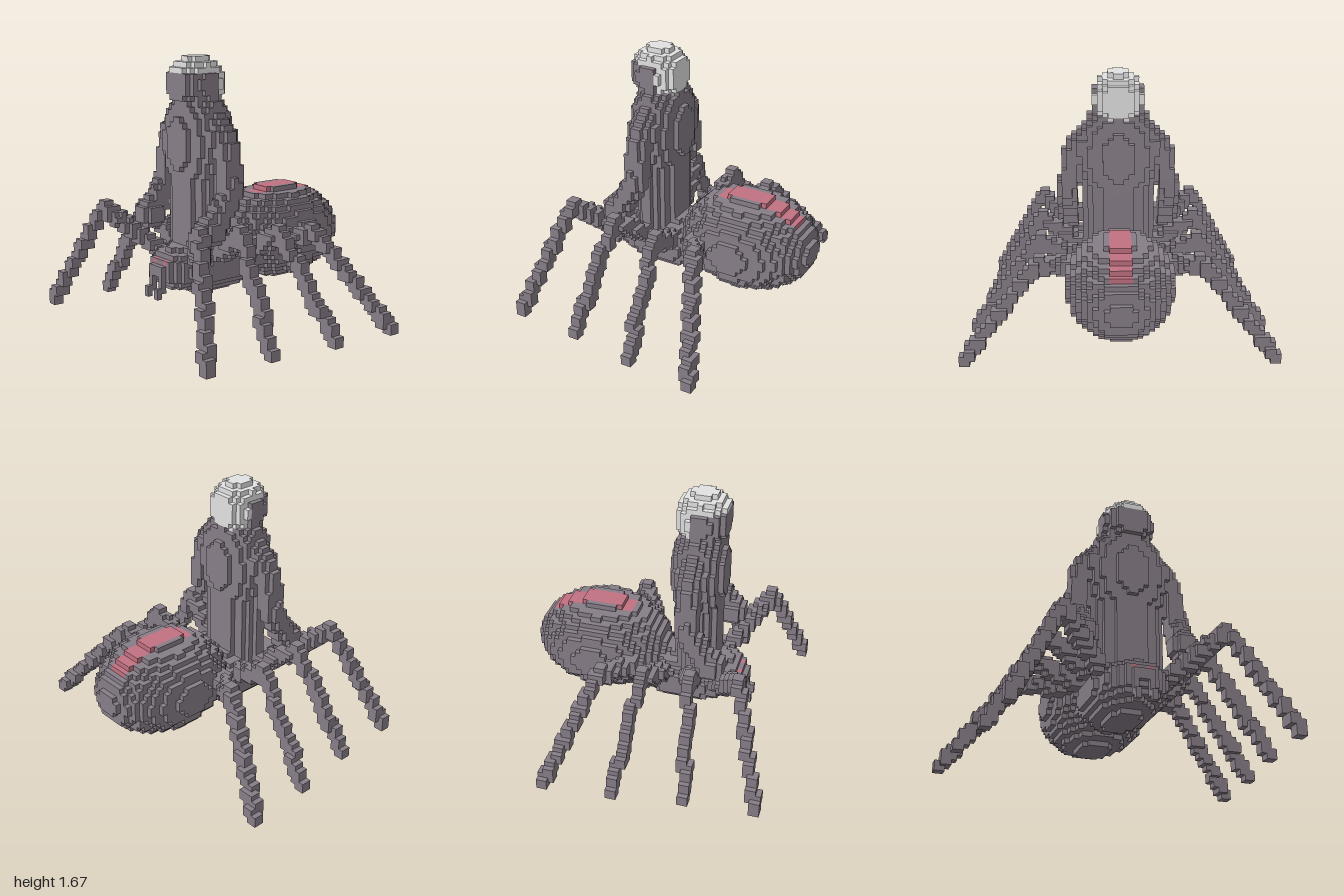
import * as THREE from 'three';

const S = 1 / 30; // edge of one block

export function createModel() {
  const mats = {
    body: new THREE.MeshStandardMaterial({ color: 0x877e87 }),
    red: new THREE.MeshStandardMaterial({ color: 0xc17181 }),
    hair: new THREE.MeshStandardMaterial({ color: 0xe2e2e2 }),
  };
  mats.body.name = 'greyBody';
  mats.red.name = 'redMarking';
  mats.hair.name = 'paleHair';

  // Block grid: "i,j,k" -> part name
  const cells = new Map();
  const key = (i, j, k) => `${i},${j},${k}`;
  const put = (part, i, j, k) => cells.set(key(i, j, k), part);

  // Fill every block whose centre passes a test
  function fill(part, [x0, x1, y0, y1, z0, z1], test) {
    for (let i = x0; i < x1; i++)
      for (let j = y0; j < y1; j++)
        for (let k = z0; k < z1; k++)
          if (test(i + 0.5, j + 0.5, k + 0.5)) put(part, i, j, k);
  }
  function ellipsoid(part, [cx, cy, cz], [rx, ry, rz]) {
    fill(part, [-16, 16, 0, 52, -27, 27], (x, y, z) =>
      ((x - cx) / rx) ** 2 + ((y - cy) / ry) ** 2 + ((z - cz) / rz) ** 2 < 1);
  }
  // Mirrored round limb between two points
  function limb(part, a, b, r) {
    const line = new THREE.Line3(new THREE.Vector3(...a), new THREE.Vector3(...b));
    const p = new THREE.Vector3(), q = new THREE.Vector3();
    fill(part, [-20, 20, 0, 45, -25, 25], (x, y, z) => {
      p.set(Math.abs(x), y, z);
      return line.closestPointToPoint(p, true, q).distanceTo(p) < r;
    });
  }
  // Mirrored thin limb, two blocks thick
  function thinLimb(part, a, b) {
    const n = 40;
    for (let t = 0; t <= n; t++) {
      const [x, y, z] = a.map((v, c) => Math.round(v + (b[c] - v) * t / n));
      for (let d = 0; d < 8; d++) {
        const i = x - (d & 1), j = y - (d >> 1 & 1), k = z - (d >> 2);
        put(part, i, j, k);
        put(part, -1 - i, j, k);
      }
    }
  }

  // Legs: hip, knee and foot, with the knees lower towards the back
  const legs = [
    [[7, 13.5, 12], [15, 21, 18], [25, 1, 24]],
    [[7, 14, 7], [15, 20, 9], [26, 1, 11]],
    [[7, 14, 2], [15, 19, 0], [28, 1, -2]],
    [[6, 15, -3], [15, 18, -8], [29, 1, -15]],
  ];
  legs.forEach(([hip, knee, foot], n) => {
    const end = [knee[0] - 1, knee[1] - 1.5, knee[2] - 0.1 * (knee[2] - hip[2])];
    limb(`legPair${n + 1}`, hip, end, 1.65);
    thinLimb(`legPair${n + 1}`, end, knee);
    thinLimb(`legPair${n + 1}`, knee, foot);
  });

  // Lower body
  ellipsoid('abdomen', [0, 15, -12], [10, 9, 13]);
  ellipsoid('thorax', [0, 11, 5], [7.2, 5, 12]);

  // Upper body
  fill('waist', [-8, 8, 13, 37, 2, 12], (x, y, z) => (x / 7) ** 2 + ((z - 7) / 4) ** 2 < 1);
  ellipsoid('chest', [0, 34, 7], [8, 10.8, 5]);
  limb('shoulders', [5, 37, 7], [7, 35.5, 7], 2.8);
  limb('arms', [8.8, 33.5, 7], [9.8, 26, 7.3], 2.1);
  limb('arms', [9.9, 26, 7.3], [9.6, 20, 10.8], 2.1);
  limb('hands', [9.5, 19.6, 11.3], [9.5, 19.6, 11.6], 2.5);
  ellipsoid('head', [0, 45, 7.5], [5, 5, 5]);

  // Hair covers the crown and the back of the head
  for (const [id, part] of cells) {
    const [, j, k] = id.split(',').map(Number);
    if (part === 'head' && (j >= 47 || (j >= 41 && k < 6))) cells.set(id, 'hair');
  }

  // Stripe along the top of the abdomen
  for (let i = -2; i < 2; i++)
    for (let k = -22; k < -6; k++) {
      let j = 26;
      while (!cells.has(key(i, j, k))) j--;
      put('backStripe', i, j, k);
    }

  // Eyes and fangs
  for (const i of [-2, 1]) {
    put('spiderEyes', i, 12, 15);
    for (let j = 6; j < 11; j++) put('fangs', i, j, j < 8 ? 17 : 16);
    put('fangs', i, 7, 16);
  }

  // Emit only the outer faces of the blocks, grouped by part
  const dirs = [];
  for (let axis = 0; axis < 3; axis++)
    for (const sign of [1, -1]) {
      const n = [0, 0, 0];
      n[axis] = sign;
      const u = (axis + 1) % 3, v = (axis + 2) % 3;
      const corners = [[0, 0], [1, 0], [1, 1], [0, 1]].map(([a, b]) => {
        const c = [0, 0, 0];
        c[axis] = sign > 0 ? 1 : 0;
        c[u] = a;
        c[v] = b;
        return c;
      });
      if (sign < 0) corners.reverse();
      dirs.push({ n, corners });
    }

  const parts = {};
  for (const [id, part] of cells) {
    const c = id.split(',').map(Number);
    const out = (parts[part] ??= { pos: [], nor: [], idx: [] });
    for (const { n, corners } of dirs) {
      if (cells.has(key(c[0] + n[0], c[1] + n[1], c[2] + n[2]))) continue;
      const base = out.pos.length / 3;
      for (const q of corners) {
        out.pos.push(...q.map((v, a) => (v + c[a]) * S));
        out.nor.push(...n);
      }
      out.idx.push(base, base + 1, base + 2, base, base + 2, base + 3);
    }
  }

  const group = new THREE.Group();
  group.name = 'spiderCentaur';
  const partMaterial = { hair: mats.hair, backStripe: mats.red, spiderEyes: mats.red };
  for (const [name, { pos, nor, idx }] of Object.entries(parts)) {
    const geo = new THREE.BufferGeometry();
    geo.setAttribute('position', new THREE.Float32BufferAttribute(pos, 3));
    geo.setAttribute('normal', new THREE.Float32BufferAttribute(nor, 3));
    geo.setIndex(idx);
    const mesh = new THREE.Mesh(geo, partMaterial[name] ?? mats.body);
    mesh.name = name;
    group.add(mesh);
  }
  return group;
}
